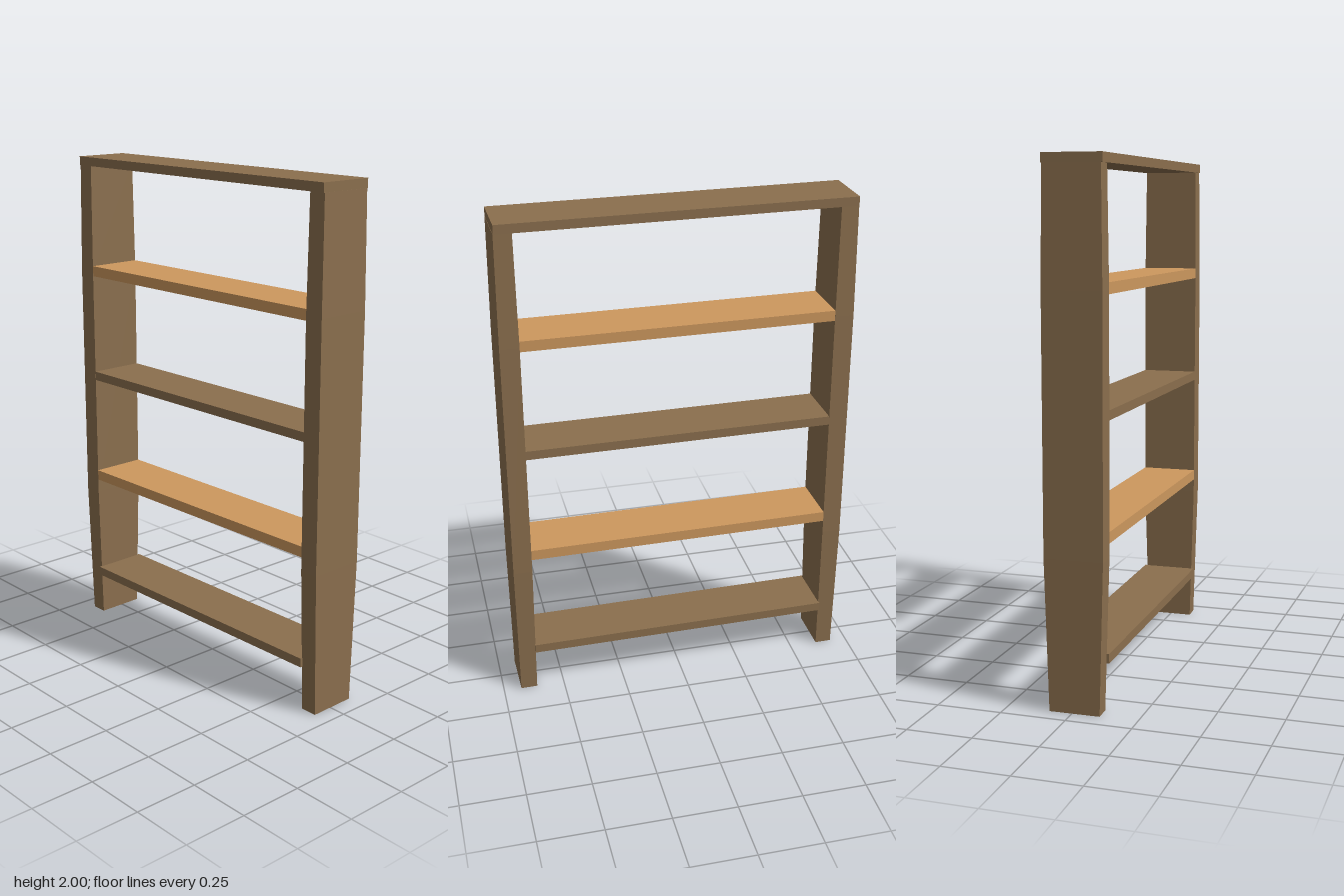
import * as THREE from 'three';

const darkWood = new THREE.MeshStandardMaterial({ name: 'darkWood', color: 0x8b6f4e });
const lightWood = new THREE.MeshStandardMaterial({ name: 'lightWood', color: 0xcd985e });

// Post sections from foot to top: height, half width, half depth
const sections = [
  [0, 0.033, 0.096],
  [0.57, 0.0375, 0.112],
  [1.53, 0.0375, 0.113],
  [1.965, 0.034, 0.108],
];

// Four-sided post that bows out slightly in the middle
function makePost() {
  const geo = new THREE.BoxGeometry(2, 3, 2, 1, sections.length - 1, 1);
  const pos = geo.attributes.position;
  for (let i = 0; i < pos.count; i++) {
    const [y, halfWidth, halfDepth] = sections[Math.round(pos.getY(i) + 1.5)];
    pos.setXYZ(i, pos.getX(i) * halfWidth, y, pos.getZ(i) * halfDepth);
  }
  const flat = geo.toNonIndexed();
  flat.computeVertexNormals();
  return flat;
}

export function createModel() {
  const model = new THREE.Group();
  model.name = 'shelfRack';

  const add = (name, geometry, material, x, y) => {
    const mesh = new THREE.Mesh(geometry, material);
    mesh.name = name;
    mesh.position.set(x, y, 0);
    model.add(mesh);
  };

  // Side posts
  const post = makePost();
  add('leftPost', post, darkWood, 0.647, 0);
  add('rightPost', post, darkWood, -0.647, 0);

  // Top plank resting on both posts
  add('topPlank', new THREE.BoxGeometry(1.36, 0.035, 0.225), darkWood, 0, 1.9825);

  // Shelves alternate between dark and light boards
  [0.1975, 0.645, 1.0875, 1.535].forEach((y, i) => {
    const light = i % 2 === 1;
    const board = new THREE.BoxGeometry(1.23, light ? 0.042 : 0.036, 0.224);
    add(`shelf${i + 1}`, board, light ? lightWood : darkWood, 0, y);
  });

  // The whole rack stands turned by a small angle
  model.rotation.y = 0.0145;
  const root = new THREE.Group();
  root.name = 'rack';
  root.add(model);
  return root;
}
